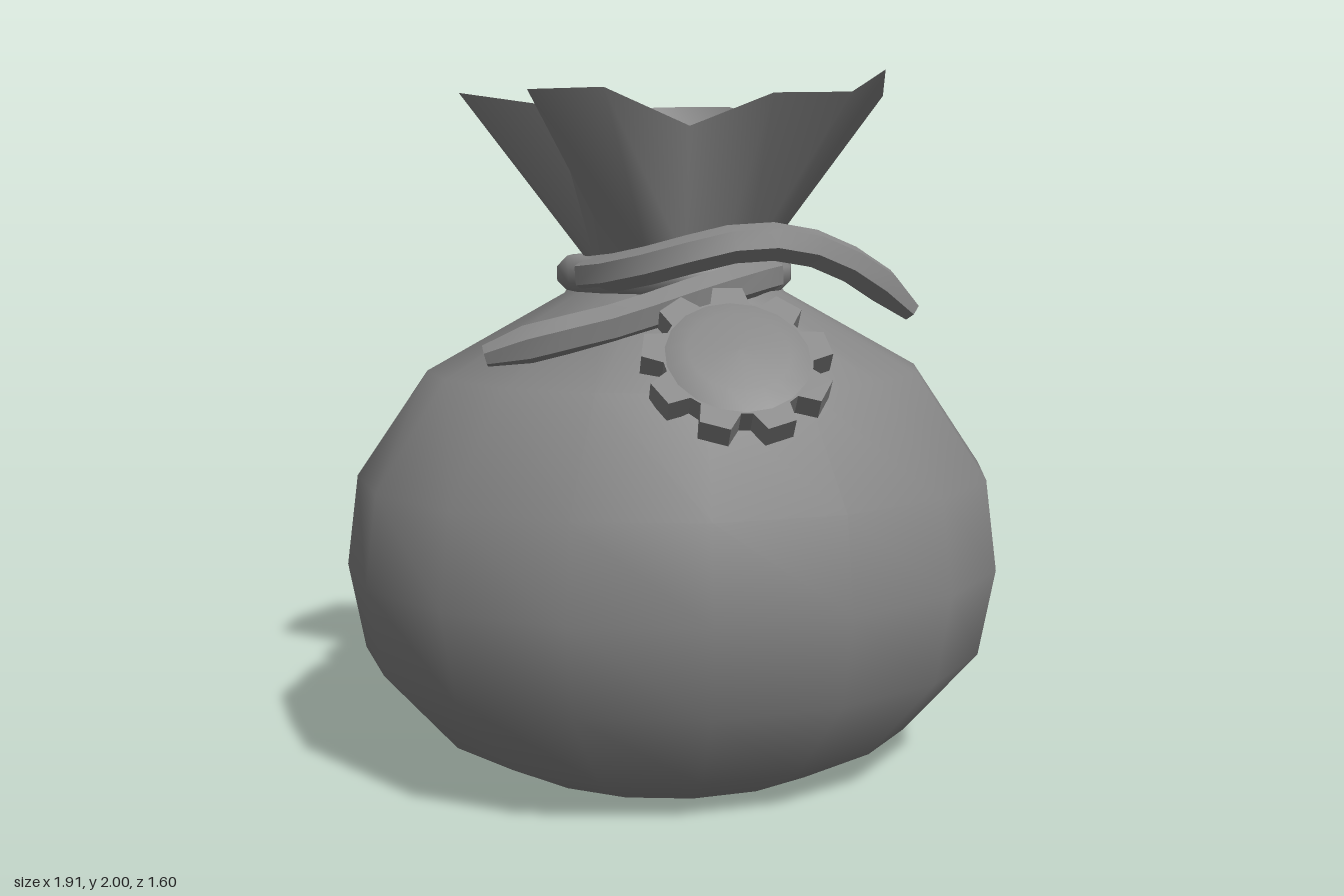
import * as THREE from 'three';
import { toCreasedNormals } from 'three/addons/utils/BufferGeometryUtils.js';

const V = (x, y, z) => new THREE.Vector3(x, y, z);
const material = new THREE.MeshStandardMaterial({ color: 0x868686 });
const SIDES = 16;

// Skin a list of rings (equal point counts); edges sharper than crease stay hard
function loft(name, rings, crease) {
  const n = rings[0].length, index = [];
  for (let j = 0; j < rings.length - 1; j++) {
    for (let i = 0; i < n; i++) {
      const a = j * n + i, b = j * n + (i + 1) % n;
      index.push(a, a + n, b + n, a, b + n, b);
    }
  }
  const geometry = new THREE.BufferGeometry().setFromPoints(rings.flat());
  geometry.setIndex(index);
  const mesh = new THREE.Mesh(toCreasedNormals(geometry, crease), material);
  mesh.name = name;
  return mesh;
}

// Horizontal ellipse, starting at the back and passing through +x
const ellipse = (y, rx, rz) => Array.from({ length: SIDES }, (_, i) => {
  const t = i / SIDES * Math.PI * 2;
  return V(rx * Math.sin(t), y, -rz * Math.cos(t));
});

// Rope of hexagonal section with a tapered tip
function ropeTail(name, points, segments) {
  const curve = new THREE.CatmullRomCurve3(points.map(p => V(...p)));
  const { normals, binormals } = curve.computeFrenetFrames(segments);
  const ring = (k, r) => Array.from({ length: 6 }, (_, i) => {
    const t = i / 6 * Math.PI * 2;
    return curve.getPointAt(k / segments)
      .addScaledVector(normals[k], Math.cos(t) * r)
      .addScaledVector(binormals[k], -Math.sin(t) * r);
  });
  const rings = [ring(0, 0)];
  for (let k = 0; k <= segments; k++) rings.push(ring(k, k === segments ? 0.03 : 0.053));
  rings.push(ring(segments, 0));
  return loft(name, rings, 0.8);
}

function createGear() {
  const gear = new THREE.Group();
  gear.name = 'gearBadge';
  const teeth = 9, shape = new THREE.Shape();
  for (let i = 0; i < teeth; i++) {
    const mid = Math.PI / 2 + i / teeth * Math.PI * 2;
    [[-0.27, 0.195], [-0.16, 0.25], [0.16, 0.25], [0.27, 0.195]].forEach(([da, r], k) => {
      const x = r * Math.cos(mid + da), y = r * Math.sin(mid + da);
      if (i + k === 0) shape.moveTo(x, y); else shape.lineTo(x, y);
    });
  }
  shape.closePath();
  const plate = new THREE.Mesh(
    new THREE.ExtrudeGeometry(shape, { depth: 0.065, bevelEnabled: false }), material);
  plate.name = 'gearTeeth';
  plate.position.z = -0.065;

  // Shallow raised centre
  const profile = [[0.19, 0], [0.135, 0.022], [0, 0.024]].map(p => new THREE.Vector2(...p));
  const boss = new THREE.Mesh(new THREE.LatheGeometry(profile, 18), material);
  boss.name = 'gearBoss';
  boss.rotation.x = Math.PI / 2;
  gear.add(plate, boss);
  gear.position.set(0.095, 1.25, 0.555);
  gear.rotation.x = -0.85;
  return gear;
}

export function createModel() {
  const model = new THREE.Group();
  model.name = 'tiedSack';

  // Plump body: height, half width, half depth
  const body = [
    [0, 0, 0], [0, 0.48, 0.4], [0.11, 0.7, 0.58], [0.35, 0.91, 0.76], [0.6, 0.955, 0.8],
    [0.86, 0.92, 0.77], [1.16, 0.715, 0.6], [1.38, 0.32, 0.27], [1.48, 0.26, 0.235],
  ];
  model.add(loft('sackBody', body.map(p => ellipse(...p)), 1.3));

  // Flared, folded mouth: rim points in the same order as the ellipses
  const rim = [
    [0, 1.93, -0.51], [0.23, 1.93, -0.47], [0.3, 1.89, -0.24], [0.565, 1.93, -0.2],
    [0.605, 1.94, 0], [0.56, 2, 0.2], [0.43, 1.93, 0.355], [0.2, 1.92, 0.46],
    [0, 1.84, 0.32], [-0.24, 1.93, 0.47], [-0.43, 1.93, 0.355], [-0.355, 1.9, 0.115],
    [-0.61, 1.94, 0], [-0.565, 1.93, -0.19], [-0.43, 1.93, -0.36], [-0.17, 1.89, -0.355],
  ].map(p => V(...p));
  const neck = ellipse(1.48, 0.26, 0.235);
  model.add(loft('mouthOutside', [neck, rim], 1.2));

  // Smooth lining runs from a narrow lip down to a closed point at the neck
  const base = ellipse(1.52, 0.18, 0.15);
  const lip = rim.map((p, i) => p.clone().lerp(base[i], 0.2));
  model.add(loft('mouthLining', [rim, lip, base, ellipse(1.46, 0, 0)], Math.PI));

  // Two crisp pleats standing just proud of the lining
  for (const k of [1, 7]) {
    const corners = [lip[k], base[k], base[k + 1], lip[k + 1]]
      .map(p => V(p.x * 0.96, p.y + 0.005, p.z * 0.96));
    const geometry = new THREE.BufferGeometry().setFromPoints(corners);
    geometry.setIndex([0, 1, 2, 0, 2, 3]);
    geometry.computeVertexNormals();
    const pleat = new THREE.Mesh(geometry, material);
    pleat.name = k === 1 ? 'backPleat' : 'frontPleat';
    model.add(pleat);
  }

  // Rope loop round the neck, octagonal section
  const loop = [];
  for (let k = 0; k <= 8; k++) {
    const t = k / 8 * Math.PI * 2 + Math.PI / 8;
    const out = 0.055 * Math.cos(t);
    loop.push(ellipse(1.435 + 0.055 * Math.sin(t), 0.29 + out, 0.24 + out));
  }
  model.add(loft('ropeLoop', loop, 0.9));

  // Crossed rope ends at the front
  model.add(ropeTail('rightRopeEnd', [
    [0.25, 1.435, 0.13], [0.16, 1.425, 0.26], [0, 1.385, 0.335], [-0.2, 1.325, 0.375],
    [-0.4, 1.28, 0.39], [-0.55, 1.24, 0.385],
  ], 8));
  model.add(ropeTail('leftRopeEnd', [
    [-0.26, 1.435, 0.11], [-0.16, 1.455, 0.25], [0, 1.5, 0.315], [0.18, 1.535, 0.315],
    [0.36, 1.51, 0.29], [0.52, 1.43, 0.25], [0.64, 1.335, 0.225],
  ], 9));

  model.add(createGear());
  return model;
}
